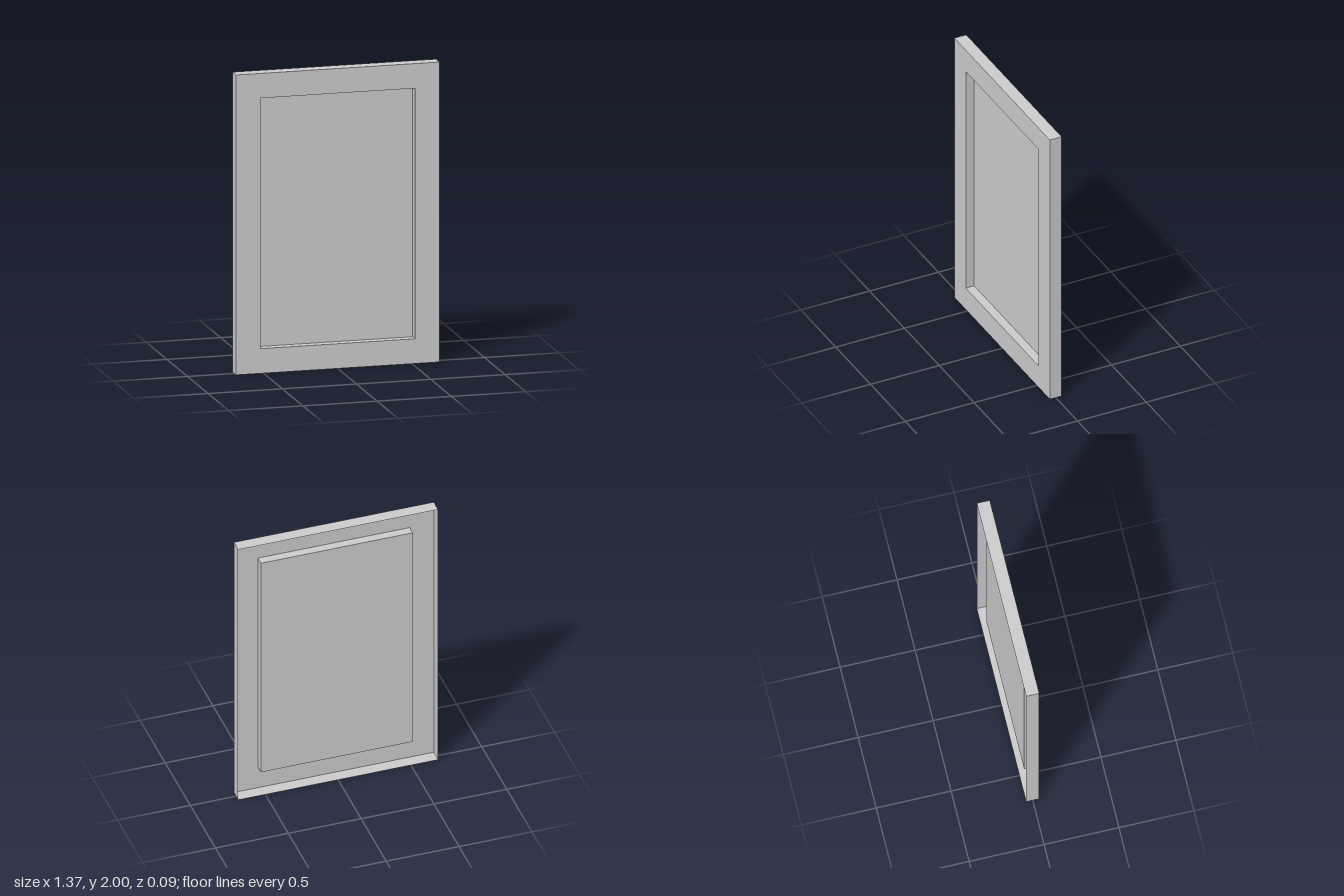
import * as THREE from 'three';

const WIDTH = 1.372, HEIGHT = 2, DEPTH = 0.087;
const BORDER = 0.165, RECESS = 0.061;
const FRONT = DEPTH / 2;

const material = new THREE.MeshStandardMaterial({ color: 0xcccccc, side: THREE.DoubleSide });

function addMesh(parent, name, geometry, x, y, z) {
  const mesh = new THREE.Mesh(geometry, material);
  mesh.name = name;
  mesh.position.set(x, y, z);
  parent.add(mesh);
  return mesh;
}

// Four thin walls running back from the front face; facing is 1 outward, -1 inward
function wallRing(name, w, h, depth, facing) {
  const ring = new THREE.Group();
  ring.name = name;
  const z = FRONT - depth / 2;
  for (const side of [-1, 1]) {
    const sideName = side > 0 ? 'Left' : 'Right';
    addMesh(ring, name + sideName, new THREE.PlaneGeometry(depth, h), side * w / 2, HEIGHT / 2, z)
      .rotation.y = side * facing * Math.PI / 2;
    const endName = side > 0 ? 'Top' : 'Bottom';
    addMesh(ring, name + endName, new THREE.PlaneGeometry(w, depth), 0, HEIGHT / 2 + side * h / 2, z)
      .rotation.x = -side * facing * Math.PI / 2;
  }
  return ring;
}

function rectangle(path, w, h) {
  return path.moveTo(-w / 2, -h / 2).lineTo(w / 2, -h / 2).lineTo(w / 2, h / 2).lineTo(-w / 2, h / 2).closePath();
}

export function createModel() {
  const model = new THREE.Group();
  model.name = 'framedPanel';
  const innerW = WIDTH - 2 * BORDER, innerH = HEIGHT - 2 * BORDER;

  // Flat border around the recess
  const border = rectangle(new THREE.Shape(), WIDTH, HEIGHT);
  border.holes.push(rectangle(new THREE.Path(), innerW, innerH));
  addMesh(model, 'frontBorder', new THREE.ShapeGeometry(border), 0, HEIGHT / 2, FRONT);

  // Outer rim, open at the back
  model.add(wallRing('outerRim', WIDTH, HEIGHT, DEPTH, 1));

  // Recess walls and the sunken panel that closes them
  model.add(wallRing('recessWall', innerW, innerH, RECESS, -1));
  addMesh(model, 'recessedPanel', new THREE.PlaneGeometry(innerW, innerH), 0, HEIGHT / 2, FRONT - RECESS);

  return model;
}
